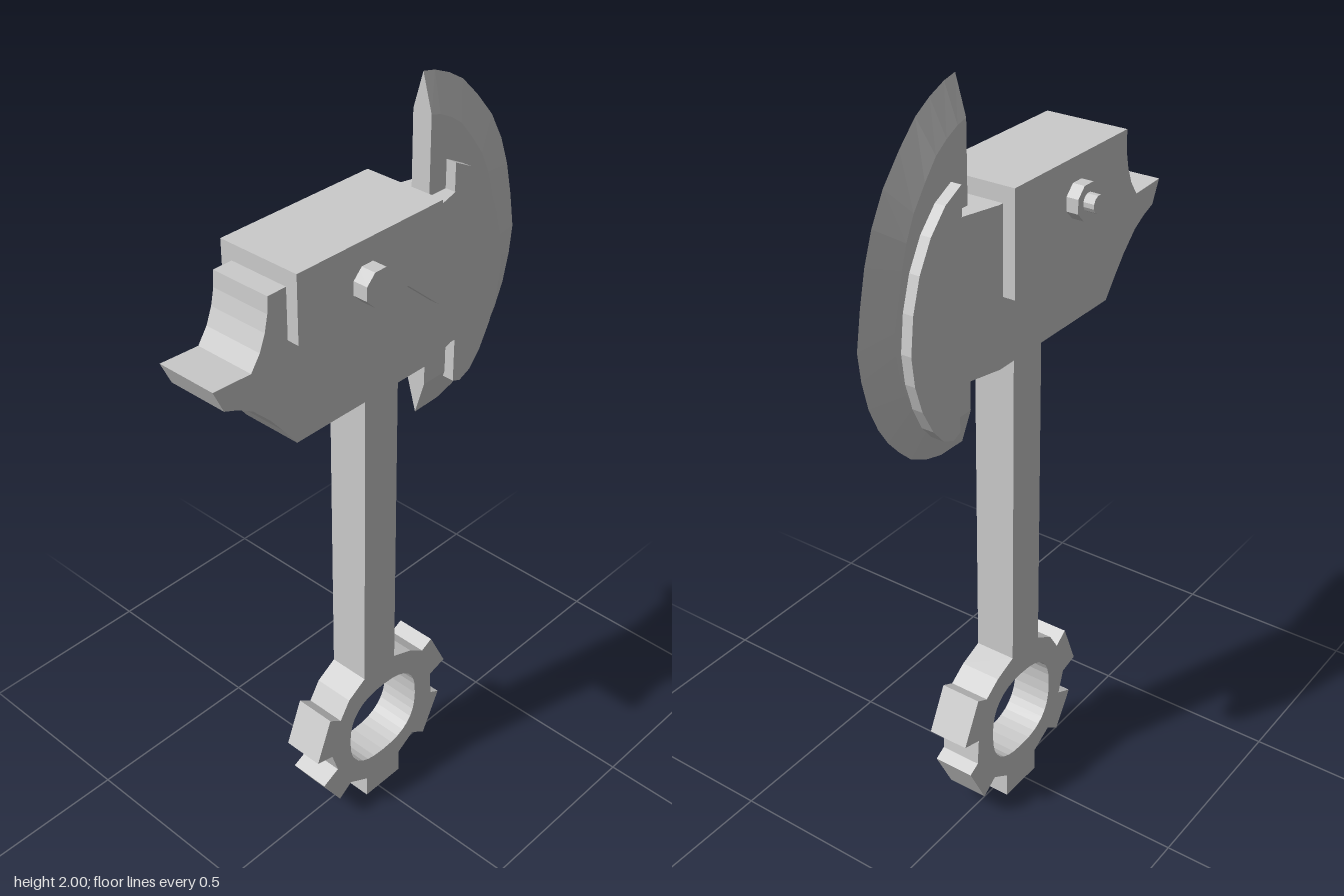
import * as THREE from 'three';

const MID = 0.009; // x of the symmetry plane of the axe
const material = new THREE.MeshStandardMaterial({ color: 0xcccccc, flatShading: true });

function part(name, geometry) {
  const mesh = new THREE.Mesh(geometry, material);
  mesh.name = name;
  return mesh;
}

// Plate cut from a [z, y] outline and extruded along x, centred on MID
function plate(outline, width, hole) {
  const toPoints = (list) => list.map(([z, y]) => new THREE.Vector2(z, y));
  const shape = new THREE.Shape(toPoints(outline));
  if (hole) shape.holes.push(new THREE.Path(toPoints(hole)));
  return new THREE.ExtrudeGeometry(shape, { depth: width, bevelEnabled: false })
    .rotateY(-Math.PI / 2)
    .translate(MID + width / 2, 0, 0);
}

// Cylinder along x from x0 to x1 on the bolt axis
function boltPiece(radius, x0, x1, sides) {
  return new THREE.CylinderGeometry(radius, radius, x1 - x0, sides)
    .rotateY(Math.PI / sides)
    .rotateZ(Math.PI / 2)
    .translate((x0 + x1) / 2, 1.66, 0.11);
}

// Half-moon blade: the same wedge section repeated along the cutting edge
function bladeGeometry() {
  const edge = [[-0.18, 2.0], [-0.217, 1.992], [-0.265, 1.972], [-0.312, 1.944], [-0.365, 1.892],
    [-0.42, 1.828], [-0.46, 1.757], [-0.487, 1.684], [-0.507, 1.6], [-0.523, 1.51], [-0.515, 1.44],
    [-0.497, 1.366], [-0.47, 1.305], [-0.44, 1.258], [-0.405, 1.218], [-0.365, 1.18],
    [-0.315, 1.155], [-0.26, 1.14], [-0.18, 1.138]];
  const z0 = -0.18, y0 = 1.57, half = 0.026, bevel = 0.09;
  const positions = [], index = [];
  edge.forEach(([z, y]) => {
    const s = 1 - bevel / Math.hypot(z - z0, y - y0);
    const zi = z0 + (z - z0) * s, yi = y0 + (y - y0) * s;
    positions.push(MID + half, y0, z0, MID + half, yi, zi, MID, y, z,
      MID - half, yi, zi, MID - half, y0, z0);
  });
  for (let i = 0; i < edge.length - 1; i++) {
    for (let j = 0; j < 4; j++) {
      const a = i * 5 + j, b = a + 5;
      index.push(a, b + 1, a + 1, a, b, b + 1);
    }
  }
  // Flat back, upper and lower halves
  const e = (edge.length - 1) * 5;
  for (let j = 1; j < 4; j++) index.push(0, j, j + 1, e, e + j + 1, e + j);
  const geometry = new THREE.BufferGeometry();
  geometry.setAttribute('position', new THREE.Float32BufferAttribute(positions, 3));
  geometry.setIndex(index);
  const flat = geometry.toNonIndexed();
  flat.computeVertexNormals();
  return flat;
}

// Neck tapering from the head to the blade socket
function neckGeometry() {
  const geometry = new THREE.BoxGeometry(0.158, 0.39, 0.1);
  const p = geometry.attributes.position;
  for (let i = 0; i < p.count; i++) {
    if (p.getZ(i) < 0) p.setX(i, p.getX(i) * 0.67);
  }
  geometry.translate(MID, 1.525, -0.19);
  geometry.computeVertexNormals();
  return geometry;
}

export function createModel() {
  const group = new THREE.Group();
  group.name = 'axe';

  // Handle ending in a toothed ring
  const hole = [];
  for (let i = 0; i < 32; i++) {
    const t = (i / 32) * Math.PI * 2, c = Math.cos(t), s = Math.sin(t);
    hole.push([-0.017 + 0.128 * Math.sign(c) * Math.abs(c) ** 0.8,
      0.253 + 0.123 * Math.sign(s) * Math.abs(s) ** 0.8]);
  }
  const handle = [[0.057, 1.36], [0.057, 0.445], [0.115, 0.41], [0.147, 0.36], [0.185, 0.387],
    [0.233, 0.267], [0.18, 0.253], [0.16, 0.19], [0.212, 0.165], [0.153, 0.07], [0.11, 0.1],
    [0.047, 0.065], [0.047, 0], [-0.083, 0], [-0.083, 0.07], [-0.138, 0.105], [-0.185, 0.073],
    [-0.243, 0.19], [-0.212, 0.207], [-0.206, 0.28], [-0.263, 0.297], [-0.206, 0.41],
    [-0.17, 0.392], [-0.122, 0.425], [-0.057, 0.45], [-0.053, 1.36]];
  group.add(part('handleWithToothedRing', plate(handle, 0.11, hole)));

  // Head with a scooped front spike
  const head = [[-0.14, 1.72], [0.367, 1.72], [0.369, 1.68], [0.378, 1.64], [0.394, 1.6],
    [0.42, 1.563], [0.525, 1.568], [0.498, 1.51], [0.46, 1.495], [0.42, 1.472], [0.372, 1.425],
    [0.335, 1.38], [0.297, 1.33], [-0.14, 1.33]];
  group.add(part('head', plate(head, 0.158)));
  group.add(part('neck', neckGeometry()));

  // Cap clamped over the head
  const cap = [[0.315, 1.76], [0.315, 1.595], [-0.02, 1.595], [-0.127, 1.503], [-0.127, 1.76]];
  group.add(part('headCap', plate(cap, 0.22)));

  // Crescent socket gripping the blade
  const socket = [[-0.235, 1.72], [-0.235, 1.79], [-0.29, 1.762], [-0.34, 1.71], [-0.38, 1.64],
    [-0.405, 1.56], [-0.416, 1.47], [-0.407, 1.395], [-0.385, 1.325], [-0.35, 1.26],
    [-0.315, 1.22], [-0.28, 1.205], [-0.255, 1.215], [-0.255, 1.33], [-0.235, 1.33]];
  group.add(part('bladeSocket', plate(socket, 0.106)));
  group.add(part('blade', bladeGeometry()));

  // Bolt through the cap
  group.add(part('boltHead', boltPiece(0.045, 0.11, 0.157, 8)));
  group.add(part('boltNut', boltPiece(0.045, -0.132, -0.09, 8)));
  group.add(part('boltEnd', boltPiece(0.022, -0.16, -0.12, 12)));

  return group;
}
